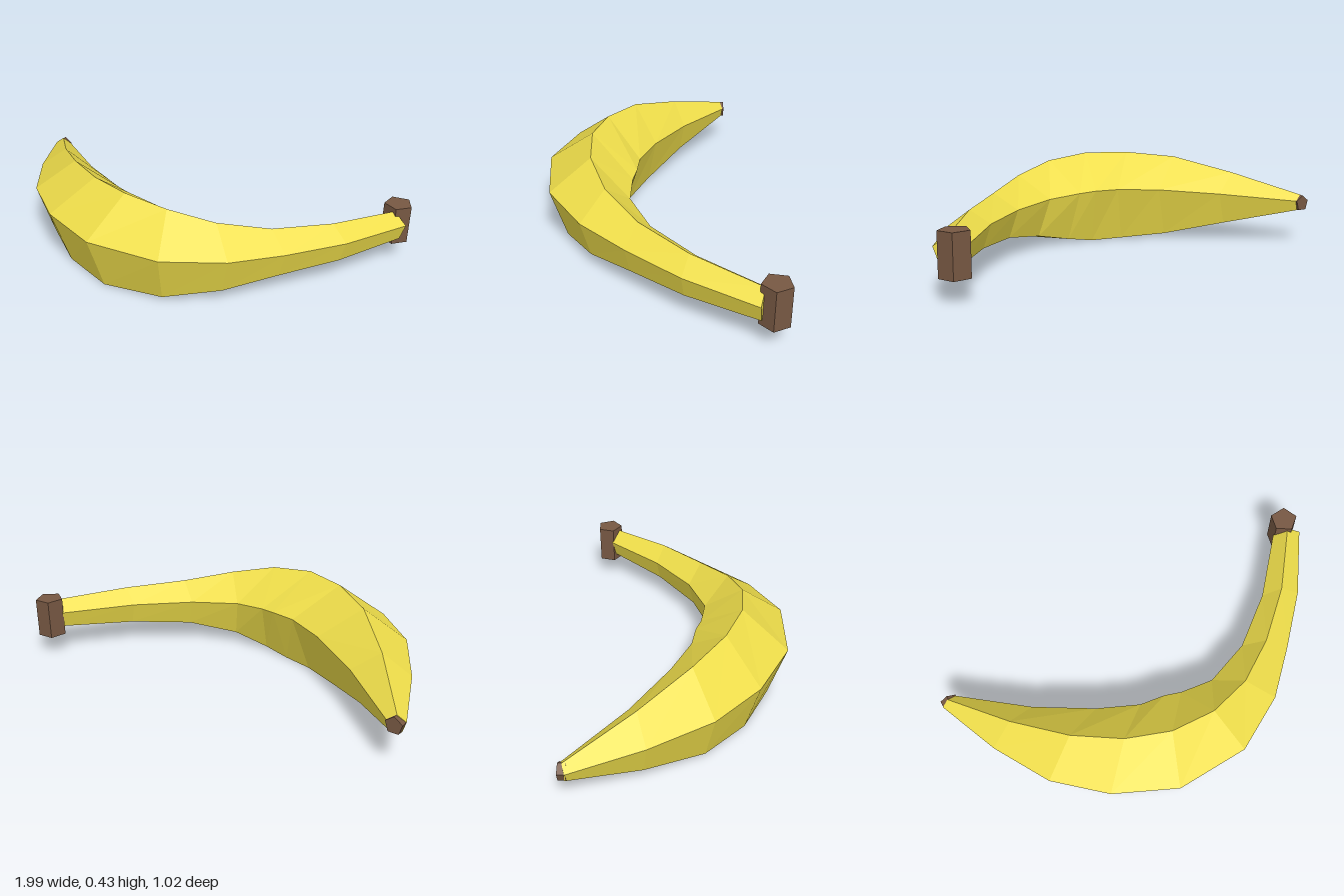
import * as THREE from 'three';

const MID_Y = 0.193; // height of the fruit's centre line
const SIDES = 5;

// Pentagonal rings from tip to stem: outer ridge x, z, inner ridge x, z, radius
const RINGS = [
  [-1.0, -0.39, -0.92, -0.42, 0.041],
  [-0.87, -0.08, -0.62, -0.18, 0.138],
  [-0.71, 0.19, -0.36, -0.02, 0.212],
  [-0.49, 0.38, -0.17, 0.065, 0.235],
  [-0.2, 0.508, -0.05, 0.08, 0.238],
  [0.15, 0.485, 0.03, 0.105, 0.213],
  [0.41, 0.335, 0.19, 0.115, 0.164],
  [0.6, 0.14, 0.41, 0.025, 0.116],
  [0.8, -0.09, 0.64, -0.16, 0.094],
  [0.99, -0.385, 0.87, -0.43, 0.072],
];

// Upright regular pentagon, apex on top, turned to face the outer ridge
function ringPoints([ox, oz, ix, iz, r]) {
  const centre = new THREE.Vector3((ox + ix) / 2, MID_Y, (oz + iz) / 2);
  const out = new THREE.Vector3(ox - ix, 0, oz - iz).normalize();
  return Array.from({ length: SIDES }, (_, j) => {
    const a = (j / SIDES) * Math.PI * 2;
    const p = centre.clone().addScaledVector(out, r * Math.sin(a));
    p.y += r * Math.cos(a);
    return p;
  });
}

function peelGeometry() {
  const rings = RINGS.map(ringPoints);
  const points = [];
  for (let i = 0; i < rings.length - 1; i++) {
    for (let j = 0; j < SIDES; j++) {
      const k = (j + 1) % SIDES;
      const [a, b, c, d] = [rings[i][j], rings[i][k], rings[i + 1][k], rings[i + 1][j]];
      points.push(a, b, d, b, c, d);
    }
  }
  // End caps
  const first = rings[0], last = rings[rings.length - 1];
  for (let j = 1; j < SIDES - 1; j++) {
    points.push(first[0], first[j + 1], first[j]);
    points.push(last[0], last[j], last[j + 1]);
  }
  const geometry = new THREE.BufferGeometry().setFromPoints(points);
  geometry.computeVertexNormals();
  return geometry;
}

export function createModel() {
  const group = new THREE.Group();
  group.name = 'banana';
  const yellow = new THREE.MeshStandardMaterial({ color: 0xeedd4a, flatShading: true });
  const brown = new THREE.MeshStandardMaterial({ color: 0x775843, flatShading: true });

  const add = (name, geometry, material) => {
    const mesh = new THREE.Mesh(geometry, material);
    mesh.name = name;
    group.add(mesh);
    return mesh;
  };

  add('peel', peelGeometry(), yellow);

  // Upright five-sided stem
  const stem = add('stem', new THREE.CylinderGeometry(0.067, 0.067, 0.188, SIDES), brown);
  stem.position.set(0.932, MID_Y, -0.452);
  stem.rotation.y = 0.1;

  // Small dark blossom end, lying along z
  const tip = add('tip', new THREE.CylinderGeometry(0.04, 0.04, 0.035, SIDES), brown);
  tip.position.set(-0.957, MID_Y, -0.405);
  tip.rotation.x = -Math.PI / 2;

  return group;
}
